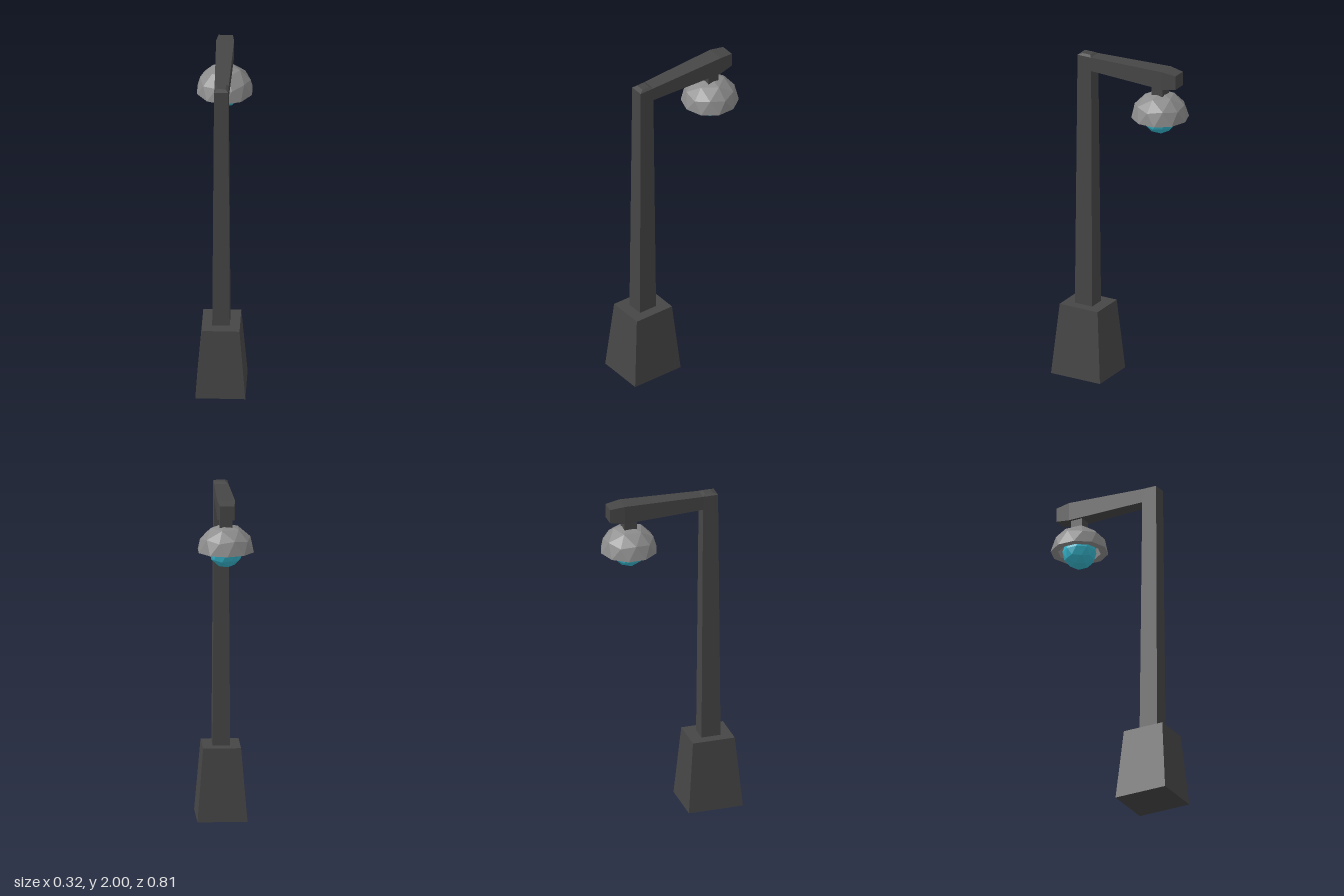
import * as THREE from 'three';

const dark = new THREE.MeshStandardMaterial({ color: 0x464646, flatShading: true });
const grey = new THREE.MeshStandardMaterial({ color: 0x8c8c8c, flatShading: true });
const teal = new THREE.MeshStandardMaterial({ color: 0x36b5cc, flatShading: true });

// Skins a closed solid over a list of four-cornered rings (counter-clockwise seen from the last ring)
function loft(rings) {
  const pos = [];
  const quad = (a, b, c, d) => pos.push(...a, ...b, ...c, ...a, ...c, ...d);
  for (let i = 0; i < rings.length - 1; i++) {
    const p = rings[i], q = rings[i + 1];
    for (let k = 0; k < 4; k++) {
      const n = (k + 1) % 4;
      quad(p[k], p[n], q[n], q[k]);
    }
  }
  const [a, b, c, d] = rings[0];
  quad(d, c, b, a);
  quad(...rings[rings.length - 1]);
  const g = new THREE.BufferGeometry();
  g.setAttribute('position', new THREE.Float32BufferAttribute(pos, 3));
  g.computeVertexNormals();
  return g;
}

// Horizontal ring at height y, and upright ring at depth z
const level = (y, hx, z0, z1) => [[-hx, y, z1], [hx, y, z1], [hx, y, z0], [-hx, y, z0]];
const upright = (z, hx, y0, y1) => [[hx, y0, z], [-hx, y0, z], [-hx, y1, z], [hx, y1, z]];

// Faceted ball with one corner pointing straight up
function ball(radius) {
  const g = new THREE.IcosahedronGeometry(radius, 1);
  g.rotateZ(-Math.atan(2 / (1 + Math.sqrt(5))));
  return g;
}

// Upper half of the faceted ball
function dome(radius) {
  const src = ball(radius).attributes.position.array;
  const pos = [];
  for (let i = 0; i < src.length; i += 9) {
    if (src[i + 1] + src[i + 4] + src[i + 7] > 0) pos.push(...src.slice(i, i + 9));
  }
  const g = new THREE.BufferGeometry();
  g.setAttribute('position', new THREE.Float32BufferAttribute(pos, 3));
  g.computeVertexNormals();
  return g;
}

function add(parent, name, geometry, material) {
  const mesh = new THREE.Mesh(geometry, material);
  mesh.name = name;
  parent.add(mesh);
  return mesh;
}

export function createModel() {
  const lamp = new THREE.Group();
  lamp.name = 'streetLamp';

  // Tapered foot
  add(lamp, 'base', loft([level(0, 0.145, 0.08, 0.408), level(0.43, 0.11, 0.116, 0.37)]), dark);

  // Slightly tapering post with a shallow cap
  add(lamp, 'post', loft([
    level(0.42, 0.051, 0.187, 0.303),
    level(1.985, 0.041, 0.2, 0.291),
    level(1.995, 0.025, 0.216, 0.265),
  ]), dark);

  // Arm that swells towards its bevelled tip
  add(lamp, 'arm', loft([
    upright(0.215, 0.041, 1.902, 1.985),
    upright(-0.28, 0.052, 1.89, 2),
    upright(-0.367, 0.042, 1.904, 1.988),
  ]), dark);

  // Short stem under the arm
  const head = new THREE.Group();
  head.name = 'lampHead';
  head.position.set(0, 1.694, -0.239);
  lamp.add(head);
  const stem = add(head, 'stem', new THREE.BoxGeometry(0.074, 0.09, 0.074), dark);
  stem.position.y = 0.176;

  // Hollow shade: outer dome, inner dome turned inside out, flat rim
  const R = 0.168, r = 0.124;
  const shade = new THREE.Group();
  shade.name = 'shade';
  shade.scale.y = 0.95;
  head.add(shade);
  add(shade, 'shadeOuter', dome(R), grey);
  const inner = dome(r).scale(-1, 1, 1);
  inner.computeVertexNormals();
  add(shade, 'shadeInner', inner, grey);
  add(shade, 'shadeRim', new THREE.RingGeometry(r, R, 10, 1, Math.PI / 2).rotateX(Math.PI / 2), grey);

  // Glowing bulb
  add(head, 'bulb', ball(0.099), teal);

  return lamp;
}
